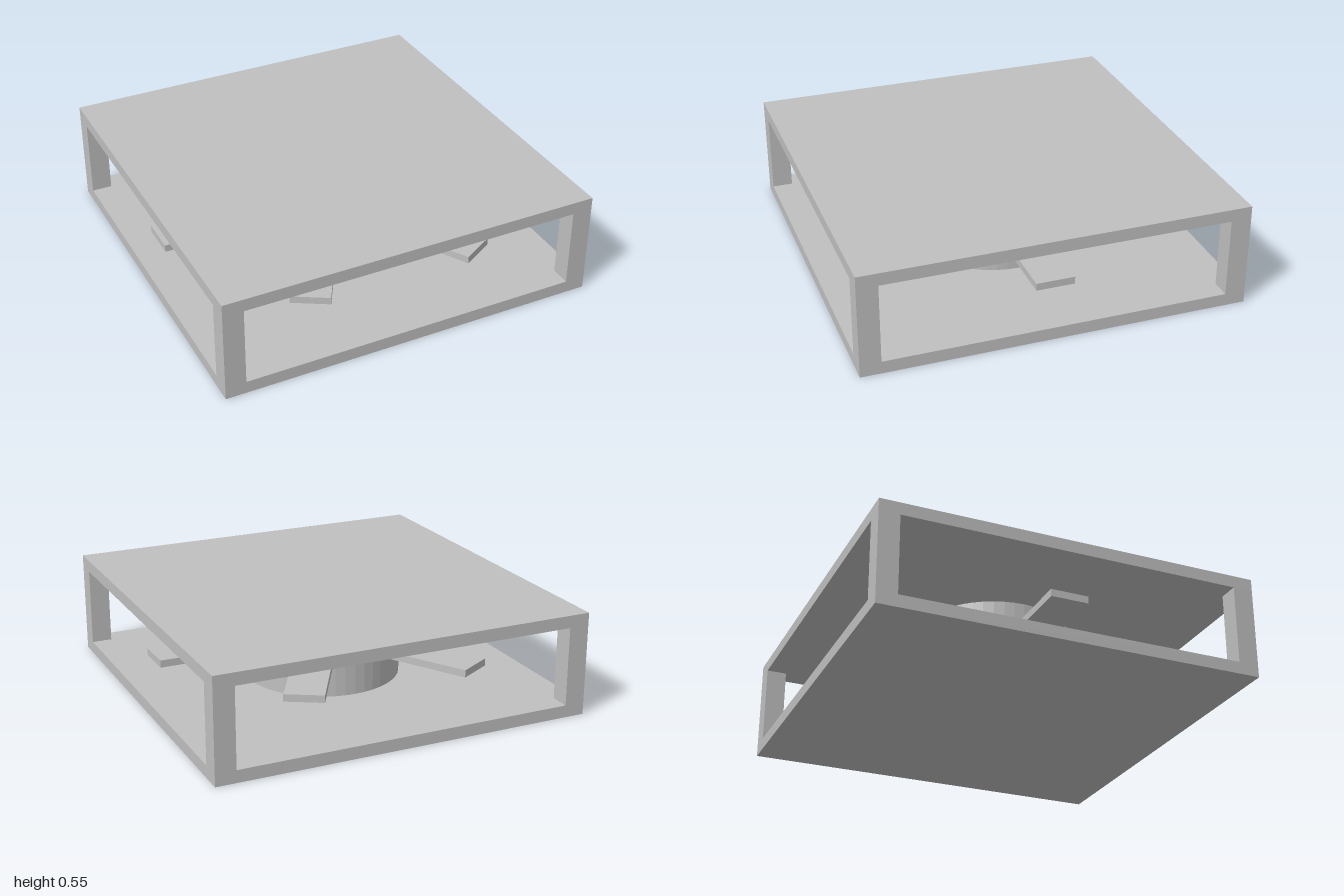
import * as THREE from 'three';

export function createModel() {
  const model = new THREE.Group();
  const grey = new THREE.MeshStandardMaterial({ color: 0xc0c0c0, flatShading: true });
  grey.name = 'light grey';

  const height = 0.545, plate = 0.065, post = 0.107;
  const gap = height - 2 * plate, middle = height / 2;

  const add = (name, geometry, x, y, z) => {
    const mesh = new THREE.Mesh(geometry, grey);
    mesh.name = name;
    mesh.position.set(x, y, z);
    model.add(mesh);
    return mesh;
  };

  // Square plates below and above
  add('bottomPlate', new THREE.BoxGeometry(2, plate, 2), 0, plate / 2, 0);
  add('topPlate', new THREE.BoxGeometry(2, plate, 2), 0, height - plate / 2, 0);

  // Corner posts
  const corner = 1 - post / 2;
  for (const sx of [-1, 1]) for (const sz of [-1, 1]) {
    add((sz > 0 ? 'front' : 'back') + (sx > 0 ? 'Left' : 'Right') + 'Post',
      new THREE.BoxGeometry(post, gap, post), sx * corner, middle, sz * corner);
  }

  // Central drum
  const radius = 0.414;
  add('drum', new THREE.CylinderGeometry(radius, radius, gap, 48), 0, middle, 0);

  // Six flat blades radiating from the drum
  const tip = 0.938, reach = (radius + tip) / 2;
  for (let i = 0; i < 6; i++) {
    const a = i * Math.PI / 3;
    const blade = add('blade' + (i + 1), new THREE.BoxGeometry(tip - radius, 0.038, 0.2),
      Math.cos(a) * reach, middle, -Math.sin(a) * reach);
    blade.rotation.y = a;
  }
  return model;
}
